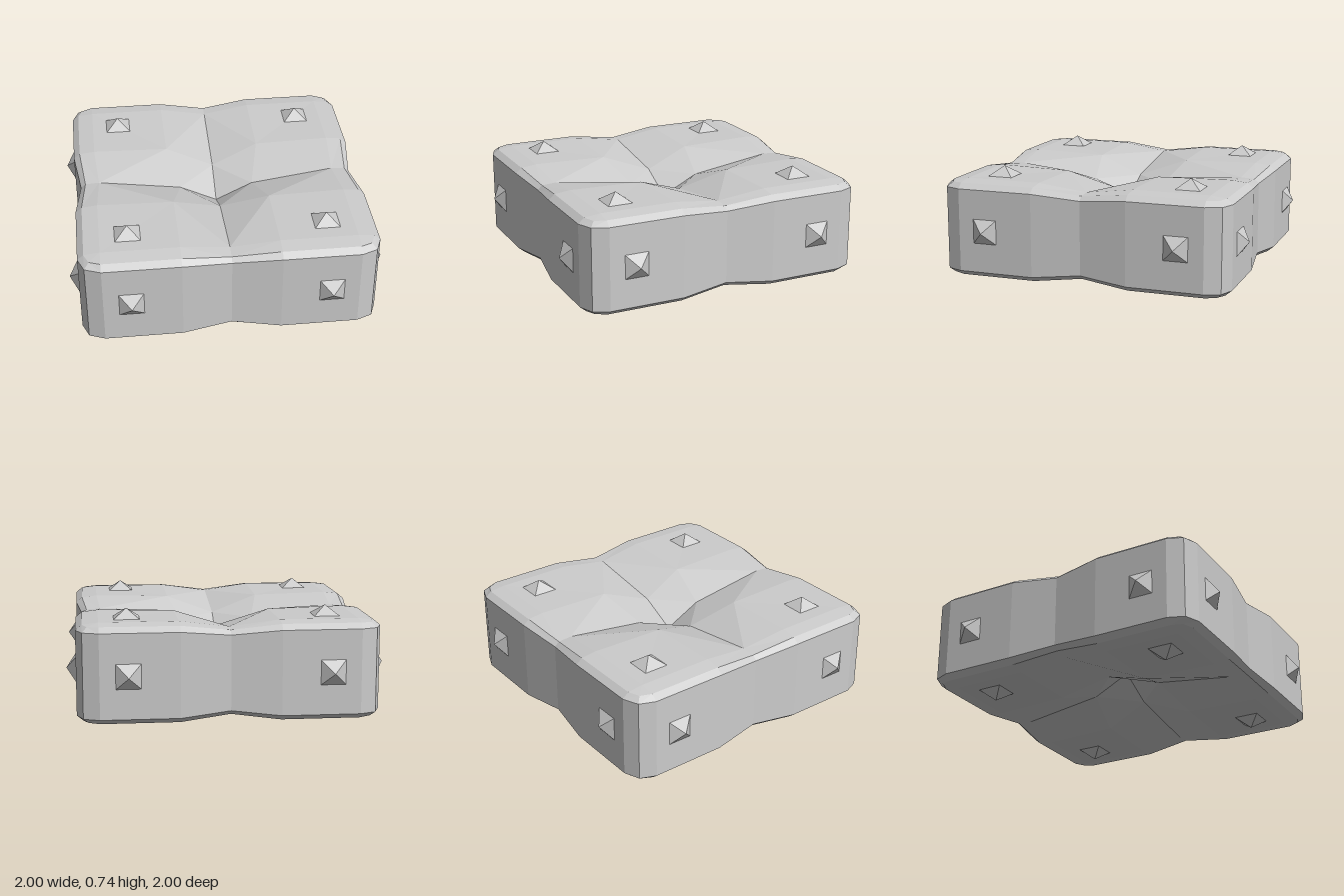
import * as THREE from 'three';

const MID = 0.38; // height of the horizontal symmetry plane

// One octant of the pinched cushion: loops of [x, height above middle, z] from the front centre to the side centre
const wallTop = [[0, 0.235, 0.9], [0.31, 0.265, 0.94], [0.8, 0.265, 0.94], [0.9, 0.265, 0.9],
  [0.94, 0.265, 0.8], [0.94, 0.265, 0.31], [0.9, 0.235, 0]];
const waist = wallTop.map(([x, , z]) => [x, 0, z]);
const bevel = [[0, 0.262, 0.87], [0.31, 0.298, 0.9], [0.8, 0.298, 0.9], [0.87, 0.295, 0.87],
  [0.9, 0.298, 0.8], [0.9, 0.298, 0.31], [0.87, 0.262, 0]];
const corner = [0.8, 0.31, 0.8];
const crown = [[0, 0.268, 0.78], [0.31, 0.31, 0.8], corner, corner, corner, [0.8, 0.31, 0.31], [0.78, 0.268, 0]];
const shoulder = [0.31, 0.298, 0.31];
const dimpleZ = [0, 0.19, 0.24];
const dimpleX = [0.24, 0.19, 0];
const dimpleCentre = [0, 0.07, 0];

function octantTriangles() {
  const tris = [];
  const loops = [waist, wallTop, bevel, crown];
  for (let l = 0; l < loops.length - 1; l++) {
    const a = loops[l], b = loops[l + 1];
    for (let i = 0; i < a.length - 1; i++) {
      tris.push([a[i], a[i + 1], b[i + 1]]);
      if (b[i] !== b[i + 1]) tris.push([a[i], b[i + 1], b[i]]);
    }
  }
  // Top panels sloping into the central dimple
  tris.push(
    [crown[0], crown[1], shoulder], [crown[1], corner, shoulder],
    [corner, crown[5], shoulder], [crown[5], crown[6], shoulder],
    [crown[6], dimpleX, shoulder], [crown[0], shoulder, dimpleZ],
    [dimpleZ, shoulder, dimpleX], [dimpleZ, dimpleX, dimpleCentre]);
  return tris;
}

// Mirror the octant over all three planes, flipping the corner order where needed
function cushionGeometry() {
  const positions = [];
  const tris = octantTriangles();
  for (const sx of [1, -1]) for (const sy of [1, -1]) for (const sz of [1, -1]) {
    for (const [a, b, c] of tris) {
      const order = sx * sy * sz > 0 ? [a, b, c] : [a, c, b];
      for (const [x, y, z] of order) positions.push(sx * x, MID + sy * y, sz * z);
    }
  }
  const geometry = new THREE.BufferGeometry();
  geometry.setAttribute('position', new THREE.Float32BufferAttribute(positions, 3));
  geometry.computeVertexNormals();
  return geometry;
}

export function createModel() {
  const group = new THREE.Group();
  group.name = 'studdedCushion';
  const material = new THREE.MeshStandardMaterial({ color: 0xcccccc, flatShading: true });

  const cushion = new THREE.Mesh(cushionGeometry(), material);
  cushion.name = 'cushion';
  group.add(cushion);

  // Square pyramid stud with its base on the origin, pointing up
  const studGeometry = new THREE.ConeGeometry(0.08 * Math.SQRT2, 0.062, 4, 1, true);
  studGeometry.rotateY(Math.PI / 4).translate(0, 0.031, 0);
  const up = new THREE.Vector3(0, 1, 0);

  function addStud(name, position, direction) {
    const stud = new THREE.Mesh(studGeometry, material);
    stud.name = name;
    stud.position.set(...position);
    stud.quaternion.setFromUnitVectors(up, new THREE.Vector3(...direction));
    group.add(stud);
  }

  const offset = 0.625;
  for (const s of [1, -1]) for (const t of [offset, -offset]) {
    // Four studs on the top and four on the bottom
    for (const u of [offset, -offset]) {
      addStud(s > 0 ? 'topStud' : 'bottomStud', [t, MID + s * 0.308, u], [0, s, 0]);
    }
    // Two studs on each side wall
    addStud(s > 0 ? 'frontStud' : 'backStud', [t, MID, s * 0.938], [0, 0, s]);
    addStud(s > 0 ? 'leftStud' : 'rightStud', [s * 0.938, MID, t], [s, 0, 0]);
  }
  // Rest the lowest stud tips on the ground
  group.children.forEach((part) => { part.position.y -= 0.01; });
  return group;
}
